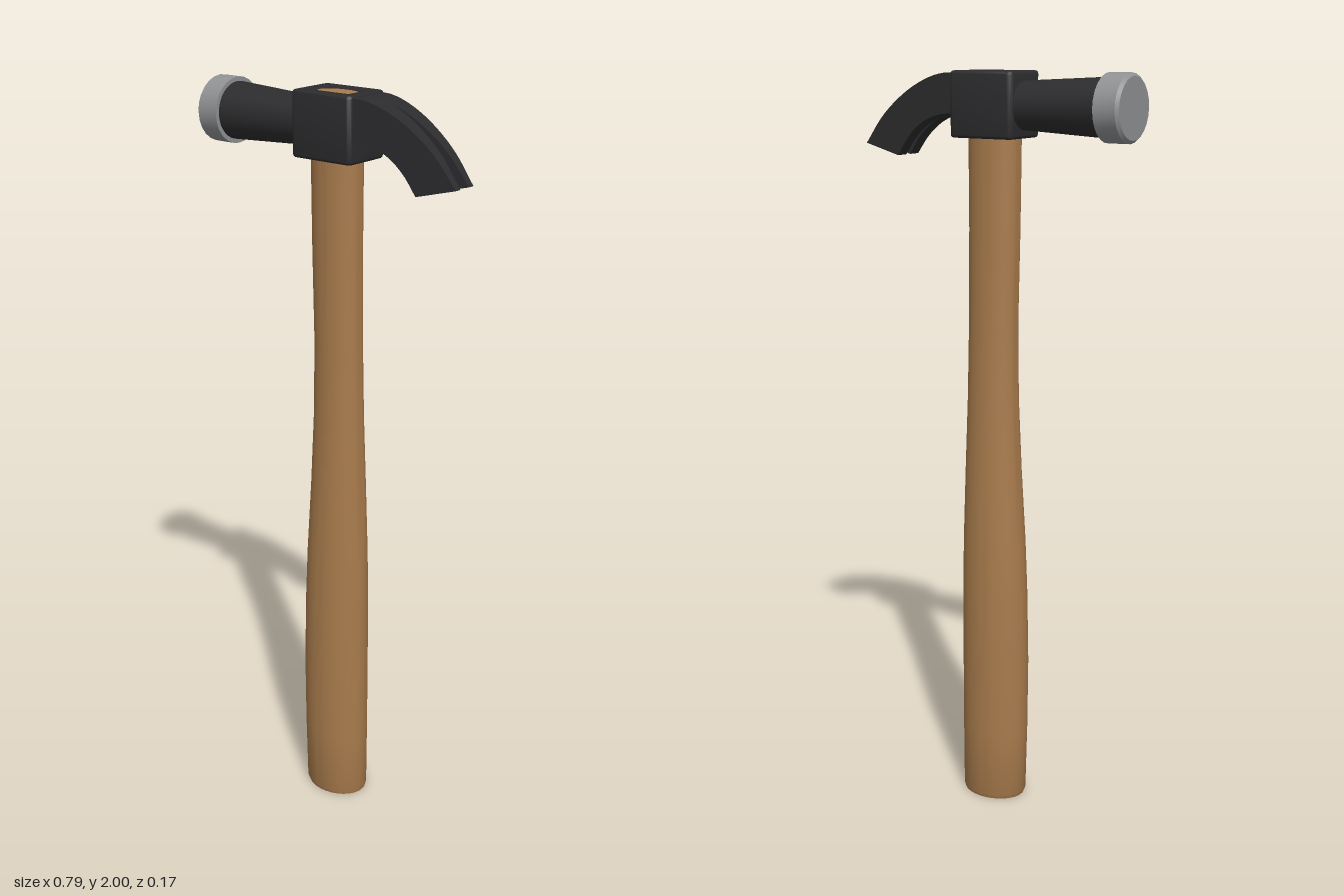
import * as THREE from 'three';
import { toCreasedNormals } from 'three/addons/utils/BufferGeometryUtils.js';

const wood = new THREE.MeshStandardMaterial({ color: 0xa87b4c });
const iron = new THREE.MeshStandardMaterial({ color: 0x2c2c2e });
const steel = new THREE.MeshStandardMaterial({ color: 0x909294 });

const HEAD_Y = 1.915;   // axis of the striking side
const EYE_X = 0.008;    // centre of the handle and its eye

function part(name, geometry, material, crease = 0.6) {
  const mesh = new THREE.Mesh(toCreasedNormals(geometry, crease), material);
  mesh.name = name;
  return mesh;
}

// Oval handle: rows of [y, centre x, half width x, half width z]
function handleGeometry() {
  const rows = [
    [0, 0.008, 0.088, 0.07], [0.012, 0.007, 0.092, 0.074], [0.2, 0.005, 0.095, 0.076],
    [0.4, 0.004, 0.096, 0.077], [0.6, 0.006, 0.094, 0.075], [0.75, 0.008, 0.09, 0.071],
    [0.95, 0.011, 0.081, 0.063], [1.15, 0.012, 0.073, 0.056], [1.35, 0.011, 0.07, 0.052],
    [1.6, 0.007, 0.072, 0.052], [1.838, 0.006, 0.074, 0.053],
    [1.842, EYE_X, 0.06, 0.037], [1.995, EYE_X, 0.059, 0.036],
  ];
  const n = rows.length - 1;
  const geo = new THREE.CylinderGeometry(1, 1, 1, 40, n);
  const p = geo.attributes.position;
  for (let i = 0; i < p.count; i++) {
    const [y, cx, rx, rz] = rows[Math.round((p.getY(i) + 0.5) * n)];
    p.setXYZ(i, cx + p.getX(i) * rx, y, p.getZ(i) * rz);
  }
  return geo;
}

// Head block pierced by a rectangular eye
function blockGeometry() {
  const bevel = 0.008, hx = 0.0935 - bevel, hz = 0.07 - bevel, r = 0.006;
  const shape = new THREE.Shape();
  shape.moveTo(-hx + r, -hz).lineTo(hx - r, -hz);
  shape.quadraticCurveTo(hx, -hz, hx, -hz + r).lineTo(hx, hz - r);
  shape.quadraticCurveTo(hx, hz, hx - r, hz).lineTo(-hx + r, hz);
  shape.quadraticCurveTo(-hx, hz, -hx, hz - r).lineTo(-hx, -hz + r);
  shape.quadraticCurveTo(-hx, -hz, -hx + r, -hz);
  const ex = 0.062 + bevel / 2, ez = 0.038 + bevel / 2;
  shape.holes.push(new THREE.Path([
    [-ex, -ez], [-ex, ez], [ex, ez], [ex, -ez],
  ].map(([x, y]) => new THREE.Vector2(x, y))));
  const geo = new THREE.ExtrudeGeometry(shape, {
    depth: 0.167 - 2 * bevel, bevelEnabled: true, bevelThickness: bevel,
    bevelSize: bevel, bevelSegments: 3, curveSegments: 4,
  });
  return geo.rotateX(-Math.PI / 2).translate(EYE_X, 1.833 + bevel, 0);
}

// Round part turned about the x axis: profile of [x, radius]
function turned(profile, segments) {
  const pts = profile.map(([x, r]) => new THREE.Vector2(r, -x)).reverse();
  pts.sort((a, b) => a.y - b.y || b.x - a.x);
  if (pts[0].x > 0) pts.unshift(new THREE.Vector2(0, pts[0].y));
  const last = pts[pts.length - 1];
  if (last.x > 0) pts.push(new THREE.Vector2(0, last.y));
  return new THREE.LatheGeometry(pts, segments).rotateZ(Math.PI / 2).translate(0, HEAD_Y, 0);
}

// One claw prong: lofted between an upper and a lower curve, tapering in z with x
function prongGeometry(side) {
  const curve = pts => new THREE.CatmullRomCurve3(pts.map(([x, y]) => new THREE.Vector3(x, y, 0)));
  const top = curve([[0.09, 1.995], [0.13, 1.993], [0.18, 1.98], [0.25, 1.946], [0.33, 1.884], [0.392, 1.808]]);
  const low = curve([[0.09, 1.892], [0.115, 1.892], [0.15, 1.887], [0.2, 1.867], [0.245, 1.83], [0.282, 1.78]]);
  const outer = x => THREE.MathUtils.mapLinear(x, 0.1, 0.392, 0.06, 0.036);
  const inner = x => Math.max(0, (x - 0.17) / 0.222 * 0.018);
  const steps = 24, pos = [], index = [];
  for (let i = 0; i <= steps; i++) {
    const a = top.getPoint(i / steps), b = low.getPoint(i / steps);
    pos.push(a.x, a.y, side * outer(a.x), a.x, a.y, side * inner(a.x));
    pos.push(b.x, b.y, side * inner(b.x), b.x, b.y, side * outer(b.x));
  }
  const quad = (a, b, c, d) => index.push(...(side > 0 ? [a, b, c, a, c, d] : [a, c, b, a, d, c]));
  for (let i = 0; i < steps; i++) {
    for (let k = 0; k < 4; k++) {
      const a = i * 4 + k, b = i * 4 + (k + 1) % 4;
      quad(a, a + 4, b + 4, b);
    }
  }
  const e = steps * 4;
  quad(0, 1, 2, 3);
  quad(e + 3, e + 2, e + 1, e);
  const geo = new THREE.BufferGeometry();
  geo.setAttribute('position', new THREE.Float32BufferAttribute(pos, 3));
  geo.setIndex(index);
  geo.computeVertexNormals();
  return geo;
}

export function createModel() {
  const model = new THREE.Group();
  model.name = 'clawHammer';
  model.add(part('handle', handleGeometry(), wood));

  const head = new THREE.Group();
  head.name = 'head';
  head.add(part('headBlock', blockGeometry(), iron));
  head.add(part('neck', turned([[-0.33, 0.074], [-0.08, 0.061]], 32), iron));
  head.add(part('strikingFace', turned([
    [-0.394, 0.077], [-0.386, 0.085], [-0.325, 0.085],
  ], 24), steel));

  // Split claw
  const claw = new THREE.Group();
  claw.name = 'claw';
  claw.add(part('leftProng', prongGeometry(1), iron), part('rightProng', prongGeometry(-1), iron));
  head.add(claw);
  model.add(head);
  return model;
}
